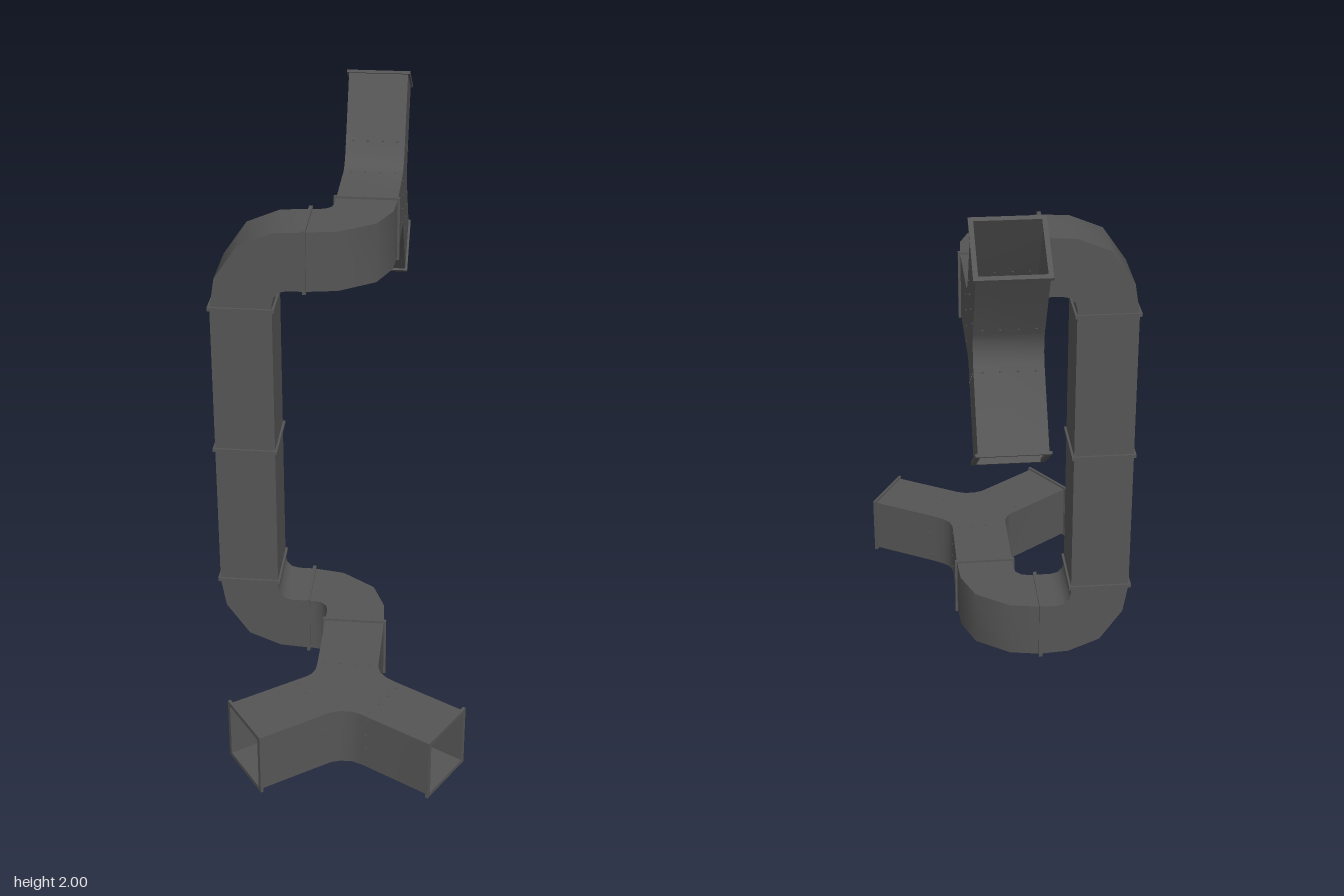
import * as THREE from 'three';
import { mergeGeometries, toCreasedNormals } from 'three/addons/utils/BufferGeometryUtils.js';

const H = 0.107; // half width of the square duct
const metal = new THREE.MeshStandardMaterial({ color: 0x555555, side: THREE.DoubleSide });

const X = new THREE.Vector3(1, 0, 0);
const Y = new THREE.Vector3(0, 1, 0);
const Z = new THREE.Vector3(0, 0, 1);
const neg = (v) => v.clone().negate();

// Hollow sheet-metal piece: plan is a list of open wall lines, the gaps between them are the openings
function ductShell(name, lines) {
  const shape = new THREE.Shape(lines.flat().map(([u, v]) => new THREE.Vector2(u, v)));
  const parts = [-H, H].map((w) => {
    const cap = new THREE.ShapeGeometry(shape).toNonIndexed().translate(0, 0, w);
    cap.deleteAttribute('uv');
    return cap;
  });
  for (const line of lines) {
    const pos = [];
    for (let i = 0; i + 1 < line.length; i++) {
      const [a, b] = [line[i], line[i + 1]];
      pos.push(...a, -H, ...b, -H, ...b, H, ...a, -H, ...b, H, ...a, H);
    }
    const wall = new THREE.BufferGeometry();
    wall.setAttribute('position', new THREE.Float32BufferAttribute(pos, 3));
    wall.computeVertexNormals();
    parts.push(wall);
  }
  const mesh = new THREE.Mesh(toCreasedNormals(mergeGeometries(parts), 0.7), metal);
  mesh.name = name;
  return mesh;
}

// Basis whose z axis follows a direction in the plan
function across(u, v, du, dv) {
  const d = new THREE.Vector3(du, dv, 0).normalize();
  const side = new THREE.Vector3().crossVectors(Z, d);
  return new THREE.Matrix4().makeBasis(side, Z, d).setPosition(u, v, 0);
}

// Square collar around the duct
function flange(u, v, du, dv, depth = 0.013) {
  const square = (r) => [[-r, -r], [r, -r], [r, r], [-r, r]].map((p) => new THREE.Vector2(...p));
  const shape = new THREE.Shape(square(0.115));
  shape.holes.push(new THREE.Path(square(0.1)));
  const geo = new THREE.ExtrudeGeometry(shape, { depth, bevelEnabled: false });
  geo.translate(0, 0, -depth / 2).applyMatrix4(across(u, v, du, dv));
  const mesh = new THREE.Mesh(geo, metal);
  mesh.name = 'flange';
  return mesh;
}

// Ring of small rivets on all four faces
function rivets(u, v, du, dv) {
  const heads = [];
  for (const t of [-0.08, -0.027, 0.027, 0.08]) {
    for (const s of [-H, H]) {
      heads.push(new THREE.SphereGeometry(0.004, 6, 4).translate(t, s, 0));
      heads.push(new THREE.SphereGeometry(0.004, 6, 4).translate(s, t, 0));
    }
  }
  const mesh = new THREE.Mesh(mergeGeometries(heads).applyMatrix4(across(u, v, du, dv)), metal);
  mesh.name = 'rivets';
  return mesh;
}

// Put a piece's plan axes u, v into the world
function place(name, origin, u, v, children) {
  const group = new THREE.Group();
  group.name = name;
  group.add(...children);
  const w = new THREE.Vector3().crossVectors(u, v);
  group.quaternion.setFromRotationMatrix(new THREE.Matrix4().makeBasis(u, v, w));
  group.position.set(...origin);
  return group;
}

// Quarter bend: short leg along u, long leg along v
function elbow() {
  return [
    ductShell('elbowShell', [
      [[0.183, -H], [0.07, -0.088], [-0.052, -0.004], [-0.1, 0.112], [-H, 0.218]],
      [[H, 0.218], [H, 0.16], [0.113, 0.133], [0.133, 0.113], [0.16, H], [0.183, H]],
    ]),
    flange(0, 0.218, 0, 1),
  ];
}

// Y-shaped splitter: stem along v, two open branches
function splitter() {
  const right = [0.358, 0.788, 0.87, 0.49];
  const left = [-0.314, 0.818, -0.81, 0.58];
  const back = ([u, v, du, dv], t) => [u - du * t, v - dv * t, du, dv];
  return [
    ductShell('splitterShell', [
      [[H, 0.215], [H, 0.48], [0.117, 0.515], [0.14, 0.54], [0.175, 0.563], [0.41, 0.695]],
      [[0.306, 0.881], [0.071, 0.749], [0.04, 0.737], [0, 0.737], [-0.033, 0.748], [-0.252, 0.905]],
      [[-0.376, 0.731], [-0.133, 0.557], [-0.118, 0.54], [-0.109, 0.515], [-H, 0.48], [-H, 0.215]],
    ]),
    flange(...right, 0.01),
    flange(...left, 0.01),
    rivets(0, 0.475, 0, 1),
    rivets(...back(right, 0.25)),
    rivets(...back(left, 0.25)),
  ];
}

export function createModel() {
  const model = new THREE.Group();
  model.name = 'ventilationDuct';
  const low = 0.117, high = 1.585, shaftX = -0.354, stemX = 0.047;

  // Vertical shaft with its three collars
  const length = 1.1;
  model.add(place('verticalShaft', [shaftX, 0.302, 0], X, Y, [
    ductShell('shaftShell', [[[H, 0], [H, length]], [[-H, length], [-H, 0]]]),
    ...[0, length / 2, length].map((y) => flange(0, y, 0, 1)),
  ]));

  // Bends out of the shaft
  model.add(place('lowerShaftElbow', [shaftX, low, 0], Y, X, elbow()));
  model.add(place('upperShaftElbow', [shaftX, high, 0], neg(Y), X, elbow()));

  // Bends towards the front and the back
  model.add(place('frontElbow', [stemX, low, 0], neg(X), Z, elbow()));
  model.add(place('backElbow', [stemX, high, 0], neg(X), neg(Z), elbow()));

  // Splitters, the front one lying flat and the back one upright
  model.add(place('frontSplitter', [stemX, low, 0], X, Z, splitter()));
  model.add(place('backSplitter', [stemX, high, 0], Y, neg(Z), splitter()));

  return model;
}
